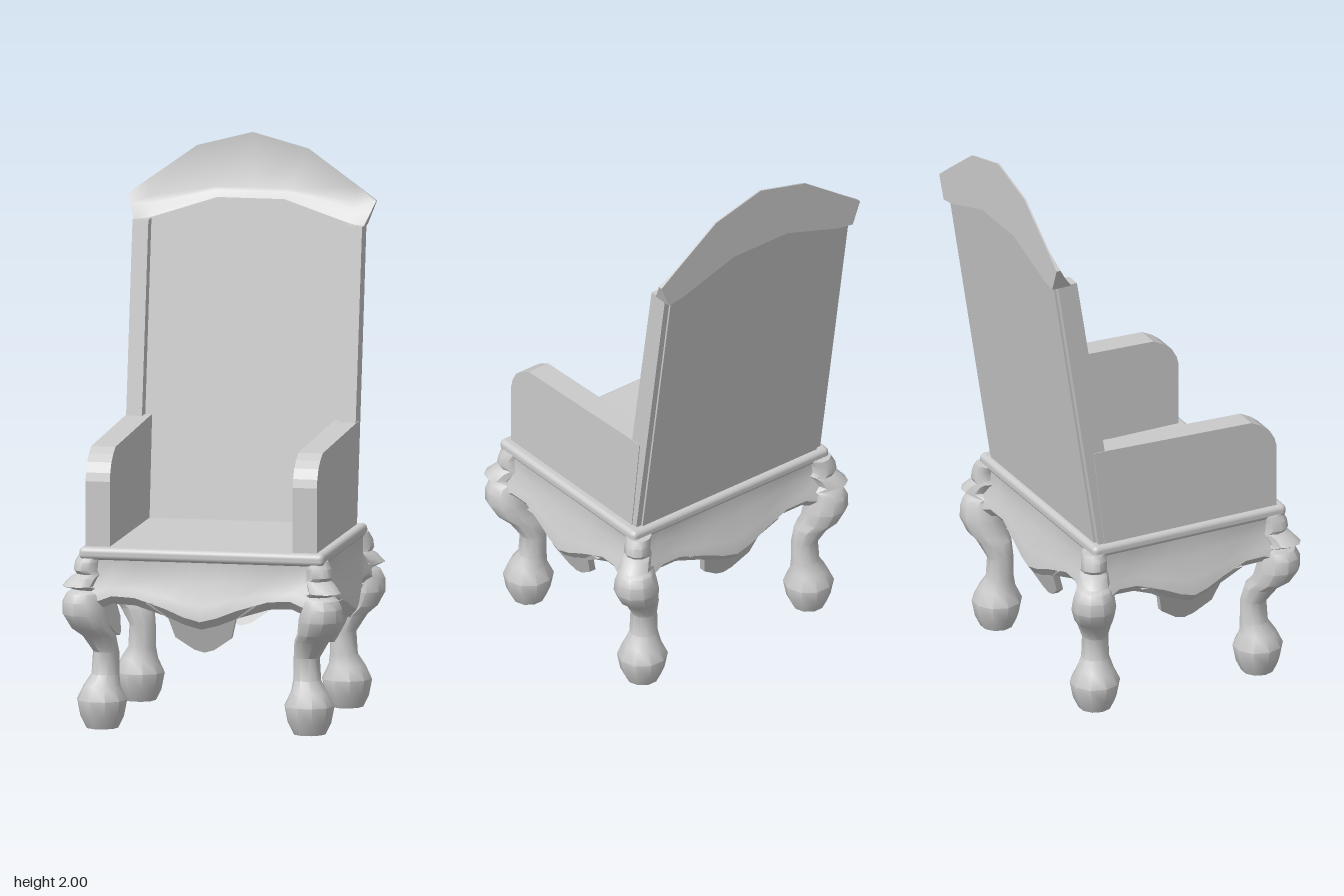
import * as THREE from 'three';
import { toCreasedNormals } from 'three/addons/utils/BufferGeometryUtils.js';
import { RoundedBoxGeometry } from 'three/addons/geometries/RoundedBoxGeometry.js';

const material = new THREE.MeshStandardMaterial({ color: 0xcccccc, side: THREE.DoubleSide });

function add(parent, name, geometry) {
  const mesh = new THREE.Mesh(geometry, material);
  mesh.name = name;
  parent.add(mesh);
  return mesh;
}

// Closed skin through a list of equal-length cross-sections, capped at both ends
function loft(rings, crease) {
  const n = rings[0].length;
  const pos = rings.flat(2);
  const index = [];
  for (let i = 0; i < rings.length - 1; i++) {
    for (let j = 0; j < n; j++) {
      const a = i * n + j, b = i * n + (j + 1) % n;
      index.push(a, b, a + n, b, b + n, a + n);
    }
  }
  [0, rings.length - 1].forEach((r, end) => {
    const centre = pos.length / 3;
    for (let k = 0; k < 3; k++) pos.push(rings[r].reduce((s, p) => s + p[k], 0) / n);
    for (let j = 0; j < n; j++) {
      const a = r * n + j, b = r * n + (j + 1) % n;
      if (end) index.push(centre, a, b);
      else index.push(centre, b, a);
    }
  });
  const g = new THREE.BufferGeometry();
  g.setAttribute('position', new THREE.Float32BufferAttribute(pos, 3));
  g.setIndex(index);
  return toCreasedNormals(g, crease);
}

// Flat plate from an (x, y) outline, its z leaning by slope per unit of height above y0
function plate(points, depth, slope = 0, y0 = 0) {
  const shape = new THREE.Shape(points.map(([x, y]) => new THREE.Vector2(x, y)));
  const g = new THREE.ExtrudeGeometry(shape, { depth, bevelEnabled: false });
  const p = g.attributes.position;
  for (let i = 0; i < p.count; i++) p.setZ(i, p.getZ(i) + (p.getY(i) - y0) * slope);
  g.computeVertexNormals();
  return g;
}

// Upright side panel from a (z, y) outline, between two x positions
function sidePanel(outline, inner, outer, side) {
  const g = plate(outline, outer - inner);
  g.rotateY(-Math.PI / 2);
  g.translate(side > 0 ? outer : -inner, 0, 0);
  return g;
}

// Cabriole leg: [height, diagonal offset, radius], with ball foot, ankle and carved knee
const legProfile = [
  [0, 0, 0.058], [0.04, 0, 0.078], [0.1, 0, 0.09], [0.15, 0, 0.066], [0.19, -0.01, 0.05],
  [0.27, -0.012, 0.047], [0.33, 0.01, 0.062], [0.36, 0.035, 0.071], [0.41, 0.052, 0.08],
  [0.455, 0.056, 0.074], [0.485, 0.052, 0.064], [0.497, 0.038, 0.055], [0.512, 0.07, 0.058],
  [0.54, 0.052, 0.052], [0.552, 0.036, 0.048], [0.565, 0.045, 0.047], [0.595, 0.042, 0.046],
  [0.62, 0.03, 0.045],
];

function legGeometry(sx, sz) {
  const sides = 10;
  const rings = legProfile.map(([y, offset, r]) => {
    const ring = [];
    for (let j = 0; j < sides; j++) {
      const a = (j / sides) * Math.PI * 2;
      ring.push([
        sx * offset + Math.cos(a) * r,
        y,
        sz * offset * (sz > 0 ? 1 : 0.6) - Math.sin(a) * r,
      ]);
    }
    return ring;
  });
  return loft(rings, 0.7);
}

// Apron rail with a flared, scalloped lower edge; faces +z
function apronGeometry(half, out) {
  const stations = [[0, 0.37, 0], [0.15, 0.385, -0.003], [0.32, 0.412, -0.01],
    [0.6, 0.445, -0.024], [0.8, 0.45, -0.018], [1, 0.42, -0.002]];
  const line = [...stations.slice(1).reverse().map(([u, y, d]) => [-u, y, d]), ...stations];
  return loft(line.map(([u, low, d]) => {
    const x = u * half, h = 0.61 - low, z = out + d;
    return [
      [x, low + 0.02, out - 0.075], [x, 0.61, out - 0.075], [x, 0.61, out - 0.045],
      [x, 0.61 - h * 0.35, out - 0.042 + d * 0.3], [x, 0.61 - h * 0.65, z - 0.008],
      [x, low + 0.03, z], [x, low, z - 0.025],
    ];
  }), 0.7);
}

export function createModel() {
  const model = new THREE.Group();
  model.name = 'armchair';

  // Legs
  for (const sx of [-1, 1]) {
    for (const sz of [-1, 1]) {
      const name = (sz > 0 ? 'front' : 'back') + (sx > 0 ? 'Left' : 'Right') + 'Leg';
      add(model, name, legGeometry(sx, sz)).position.set(sx * 0.372, 0, sz > 0 ? 0.35 : -0.295);
    }
  }

  // Seat board with rounded rim
  add(model, 'seat', new RoundedBoxGeometry(0.88, 0.045, 0.765, 3, 0.018))
    .position.set(0, 0.627, 0.05);

  // Aprons with an inward-leaning pendant on all four sides
  const base = new THREE.Group();
  base.name = 'apronFrame';
  base.position.z = 0.045;
  model.add(base);
  const pendant = [[-0.2, 0.46], [-0.12, 0.405], [-0.1, 0.335], [-0.035, 0.29], [0, 0.28],
    [0.035, 0.29], [0.1, 0.335], [0.12, 0.405], [0.2, 0.46]];
  ['front', 'left', 'back', 'right'].forEach((name, i) => {
    const half = i % 2 ? 0.36 : 0.4;
    const out = i % 2 ? 0.478 : 0.41;
    const side = new THREE.Group();
    side.name = name + 'Apron';
    side.rotation.y = i * Math.PI / 2;
    base.add(side);
    add(side, name + 'ApronRail', apronGeometry(half, out));
    add(side, name + 'Pendant', plate(pendant, 0.025, 0.36, 0.45)).position.z = out - 0.045;
  });

  // Closed underside of the seat
  add(base, 'underside', new THREE.BoxGeometry(0.82, 0.15, 0.68)).position.y = 0.535;

  // Upper body
  const upper = new THREE.Group();
  upper.name = 'upperBody';
  upper.position.x = -0.006;
  model.add(upper);

  // Arms and wings
  const arm = [[0.4, 0.64], [0.4, 0.88], [0.392, 0.91], [0.372, 0.945], [0.34, 0.97], [0.3, 0.99],
    [-0.28, 1.01], [-0.325, 1.01], [-0.28, 0.64]];
  const wing = [[-0.27, 0.64], [-0.28, 1.01], [-0.39, 1.69], [-0.465, 1.69], [-0.302, 0.64]];
  for (const side of [-1, 1]) {
    const name = side > 0 ? 'left' : 'right';
    add(upper, name + 'Arm', sidePanel(arm, 0.328, 0.415, side));
    add(upper, name + 'Wing', sidePanel(wing, 0.355, 0.412, side));
  }

  // Leaning back panel
  const back = [[-0.39, 0.64], [0.39, 0.64], [0.39, 1.685], [0.12, 1.772], [-0.12, 1.772],
    [-0.39, 1.685]];
  add(upper, 'backPanel', plate(back, 0.03, -0.155, 0.64)).position.z = -0.31;

  // Crest rail: [lower x, upper x, lower y, upper y, front z, cove height]
  const crest = [[0, 0, 1.77, 2, -0.45, 0.045], [0.12, 0.2, 1.77, 1.947, -0.45, 0.045],
    [0.35, 0.38, 1.695, 1.818, -0.44, 0.09], [0.412, 0.445, 1.685, 1.77, -0.412, 0.11]];
  const stations = [...crest.slice(1).reverse().map(([a, b, ...r]) => [-a, -b, ...r]), ...crest];
  add(upper, 'crest', loft(stations.map(([xb, xt, yb, yt, zf, cove]) => {
    const at = (t, z) => [xb + (xt - xb) * t, yb + (yt - yb) * t, z];
    // Front surface sweeps back over the cove height, then stays thin
    const front = (h) => {
      const height = Math.min(h * cove, yt - yb);
      return at(height / (yt - yb), -0.482 + (zf + 0.482) * (1 - height / cove) ** 1.3);
    };
    const tip = front(10);
    return [at(0, -0.488), at(1, -0.488), [tip[0], tip[1], Math.max(tip[2] || -0.482, -0.482)],
      front(0.75), front(0.5), front(0.25), front(0)];
  }).map((ring) => ring), 0.7));

  return model;
}
